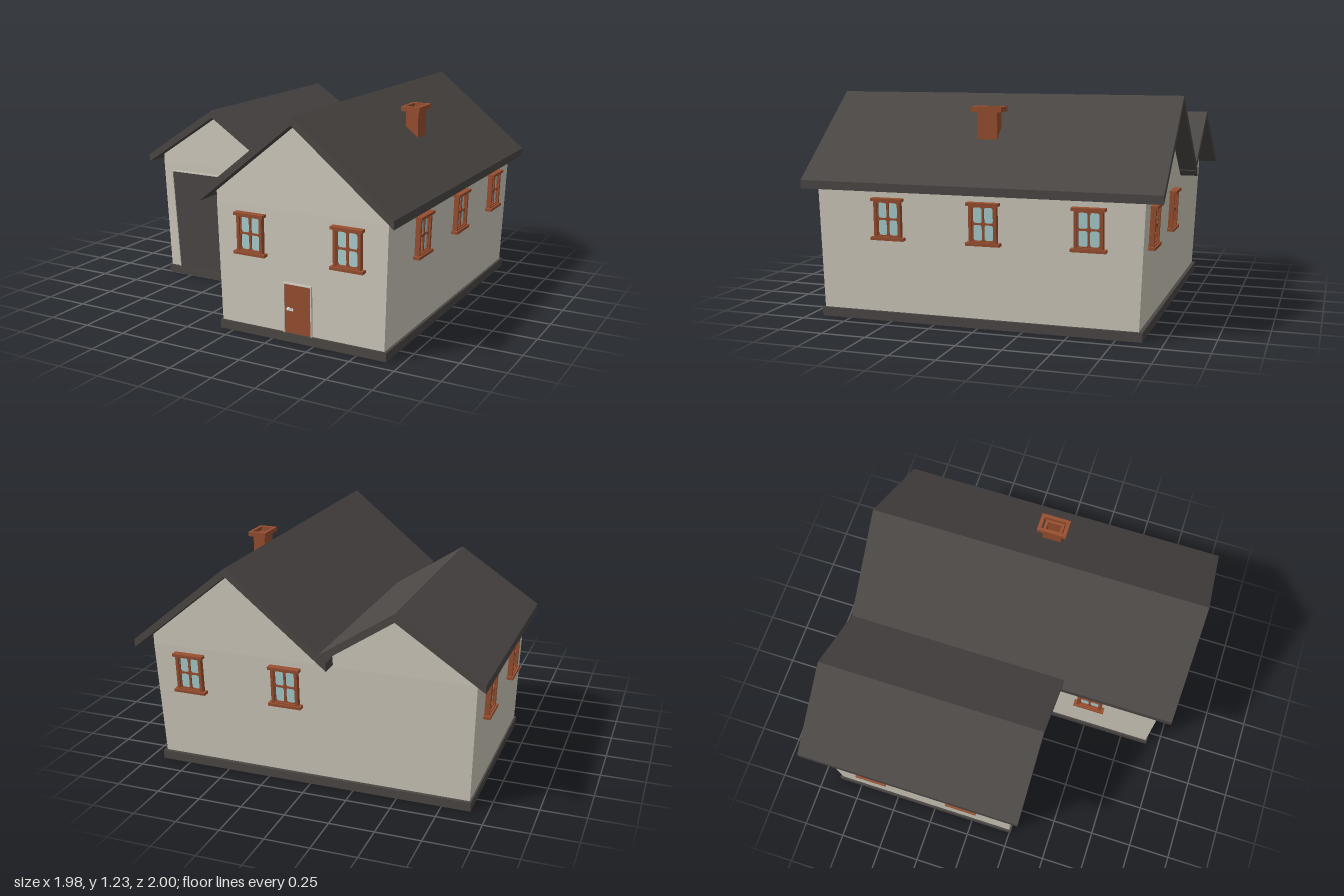
import * as THREE from 'three';

const mat = (name, color) => {
  const m = new THREE.MeshStandardMaterial({ color });
  m.name = name;
  return m;
};

export function createModel() {
  const house = new THREE.Group();
  house.name = 'house';
  const plaster = mat('plaster', 0xd0cabd);
  const slate = mat('slate', 0x4b4745);
  const wood = mat('redBrownWood', 0x984f30);
  const glass = mat('glass', 0xa9d0cf);
  const trim = mat('paleTrim', 0xd8d8d4);

  const add = (parent, name, geo, material, x = 0, y = 0, z = 0) => {
    const m = new THREE.Mesh(geo, material);
    m.name = name;
    m.position.set(x, y, z);
    parent.add(m);
    return m;
  };
  const box = (parent, name, material, x0, x1, y0, y1, z0, z1) =>
    add(parent, name, new THREE.BoxGeometry(x1 - x0, y1 - y0, z1 - z0), material,
      (x0 + x1) / 2, (y0 + y1) / 2, (z0 + z1) / 2);
  const polygon = (pts) => new THREE.Shape(pts.map(([x, y]) => new THREE.Vector2(x, y)));
  const prism = (shape, depth) =>
    new THREE.ExtrudeGeometry(shape, { depth, bevelEnabled: false, curveSegments: 4 });
  const rect = (w, h) => polygon([[-w / 2, -h / 2], [w / 2, -h / 2], [w / 2, h / 2], [-w / 2, h / 2]]);

  // Walls lean outward from the plinth to the eaves line
  const Y0 = 0.05, Y1 = 0.72;
  const flaredWalls = (name, low, high) => {
    const geo = new THREE.BoxGeometry(1, 1, 1).toNonIndexed();
    const p = geo.attributes.position;
    for (let i = 0; i < p.count; i++) {
      const f = p.getY(i) > 0 ? high : low;
      p.setXYZ(i, p.getX(i) < 0 ? f[0] : f[1], p.getY(i) > 0 ? Y1 : Y0, p.getZ(i) < 0 ? f[2] : f[3]);
    }
    geo.computeVertexNormals();
    add(house, name, geo, plaster);
  };

  // One gabled block: plinth, walls, gable and roof
  const block = (name, o) => {
    box(house, name + 'Plinth', slate, ...o.plinth);
    flaredWalls(name + 'Walls', o.low, o.high);
    const [gx0, gx1, gz0, gz1] = o.high;
    const under = (x) => o.ridge[1] - 0.04 - Math.abs(x - o.ridge[0]) * o.slope;
    add(house, name + 'Gable', prism(polygon([
      [gx0, Y1], [gx1, Y1], [gx1, under(gx1)], [o.ridge[0], under(o.ridge[0])], [gx0, under(gx0)],
    ]), gz1 - gz0), plaster, 0, 0, gz0);
    const [x0, x1, z0, z1] = o.roof;
    const top = (x) => o.ridge[1] - Math.abs(x - o.ridge[0]) * o.slope;
    const t = 0.046;
    add(house, name + 'Roof', prism(polygon([
      [x0, top(x0) - t], [o.ridge[0], o.ridge[1] - t], [x1, top(x1) - t],
      [x1, top(x1)], o.ridge, [x0, top(x0)],
    ]), z1 - z0), slate, 0, 0, z0);
  };
  block('main', {
    plinth: [-0.08, 0.92, 0, Y0, -0.89, 0.92],
    low: [-0.07, 0.905, -0.87, 0.91], high: [-0.085, 0.925, -0.9, 0.925],
    ridge: [0.415, 1.23], slope: 0.808, roof: [-0.145, 0.985, -1, 1],
  });
  block('garage', {
    plinth: [-0.91, -0.08, 0, Y0, -0.89, 0.26],
    low: [-0.9, -0.07, -0.87, 0.25], high: [-0.925, -0.08, -0.9, 0.265],
    ridge: [-0.515, 1.09], slope: 0.662, roof: [-0.99, -0.095, -1, 0.33],
  });

  // Frame of a wall face: turn about y, outward distance at foot and at eaves
  const faces = {
    front: [0, 0.91, 0.925],
    back: [Math.PI, 0.87, 0.9],
    right: [Math.PI / 2, 0.905, 0.925],
    garageLeft: [-Math.PI / 2, 0.9, 0.925],
    mainLeft: [-Math.PI / 2, 0.07, 0.085],
    garageFront: [0, 0.25, 0.265],
  };
  const onWall = (name, face, u, y) => {
    const [a, d0, d1] = faces[face];
    const d = d0 + (d1 - d0) * (y - Y0) / (Y1 - Y0);
    const g = new THREE.Group();
    g.name = name;
    g.rotation.order = 'YXZ';
    g.rotation.set(Math.atan((d1 - d0) / (Y1 - Y0)), a, 0);
    g.position.set(Math.sin(a) * d + Math.cos(a) * u, y, Math.cos(a) * d - Math.sin(a) * u);
    house.add(g);
    return g;
  };

  // Window frame with four panes, rounded towards the corners
  const sash = rect(0.152, 0.21);
  for (const sx of [-1, 1]) for (const sy of [-1, 1]) {
    const w = 0.05, h = 0.084, r = 0.014;
    const x = sx * 0.031 - w / 2, y = sy * 0.047 - h / 2;
    const pane = new THREE.Path();
    pane.moveTo(x + r, y);
    pane.lineTo(x + w - r, y);
    pane.quadraticCurveTo(x + w, y, x + w, y + r);
    pane.lineTo(x + w, y + h - r);
    pane.quadraticCurveTo(x + w, y + h, x + w - r, y + h);
    pane.lineTo(x + r, y + h);
    pane.quadraticCurveTo(x, y + h, x, y + h - r);
    pane.lineTo(x, y + r);
    pane.quadraticCurveTo(x, y, x + r, y);
    sash.holes.push(pane);
  }
  const sashGeo = prism(sash, 0.018);
  const surround = rect(0.155, 0.215);
  surround.holes.push(rect(0.122, 0.186));
  const surroundGeo = prism(surround, 0.028);
  const addWindow = (face, u) => {
    const g = onWall('window', face, u, 0.57);
    add(g, 'glassPane', new THREE.BoxGeometry(0.13, 0.19, 0.008), glass, 0, 0, 0.006);
    add(g, 'glazingBars', sashGeo, wood);
    add(g, 'windowSurround', surroundGeo, wood);
    for (const s of [-1, 1])
      add(g, s > 0 ? 'lintel' : 'sill', new THREE.BoxGeometry(s > 0 ? 0.18 : 0.19, 0.016, 0.04),
        wood, 0, s * 0.107, 0.018);
  };
  for (const x of [0.13, 0.705]) {
    addWindow('front', x);
    addWindow('back', -x);
  }
  for (const z of [0.505, -0.04, -0.61]) addWindow('right', -z);
  for (const z of [-0.04, -0.61]) addWindow('garageLeft', z);
  addWindow('mainLeft', 0.505);

  // Flat doors set in narrow plaster frames
  const addDoor = (name, face, pts, material) => {
    const g = onWall(name, face, 0, Y0);
    add(g, name + 'Panel', prism(polygon(pts), 0.008), material, 0, 0, -0.002);
    const [[ax], [bx], [cx, top], [dx]] = pts;
    const b = 0.007;
    add(g, name + 'Frame', prism(polygon([
      [ax - b, 0], [ax, 0], [dx, top], [cx, top], [bx, 0], [bx + b, 0], [cx + b, top + b], [dx - b, top + b],
    ]), 0.014), plaster, 0, 0, -0.002);
    return g;
  };
  addDoor('garageDoor', 'garageFront',
    [[-0.825, 0], [-0.165, 0], [-0.165, 0.62], [-0.857, 0.62]], slate);
  const door = addDoor('frontDoor', 'front',
    [[0.328, 0], [0.484, 0], [0.484, 0.274], [0.328, 0.274]], wood);
  const knob = new THREE.SphereGeometry(0.011, 12, 8);
  add(door, 'doorKnob', knob, trim, 0.355, 0.137, 0.014);
  add(door, 'doorLever', new THREE.BoxGeometry(0.034, 0.012, 0.008), trim, 0.368, 0.137, 0.016);

  // Hollow chimney with a wider cap
  const chimney = new THREE.Group();
  chimney.name = 'chimney';
  chimney.position.set(0.67, 0, 0.017);
  house.add(chimney);
  const flue = (name, w, d, y0, y1, hw, hd) => {
    const s = rect(w, d);
    s.holes.push(rect(hw, hd));
    add(chimney, name, prism(s, y1 - y0).rotateX(-Math.PI / 2), wood, 0, y0, 0);
  };
  flue('chimneyStack', 0.074, 0.114, 0.95, 1.145, 0.044, 0.08);
  flue('chimneyCap', 0.112, 0.174, 1.143, 1.17, 0.074, 0.13);
  box(chimney, 'flueFloor', wood, -0.03, 0.03, 0.95, 1.05, -0.05, 0.05);

  return house;
}
